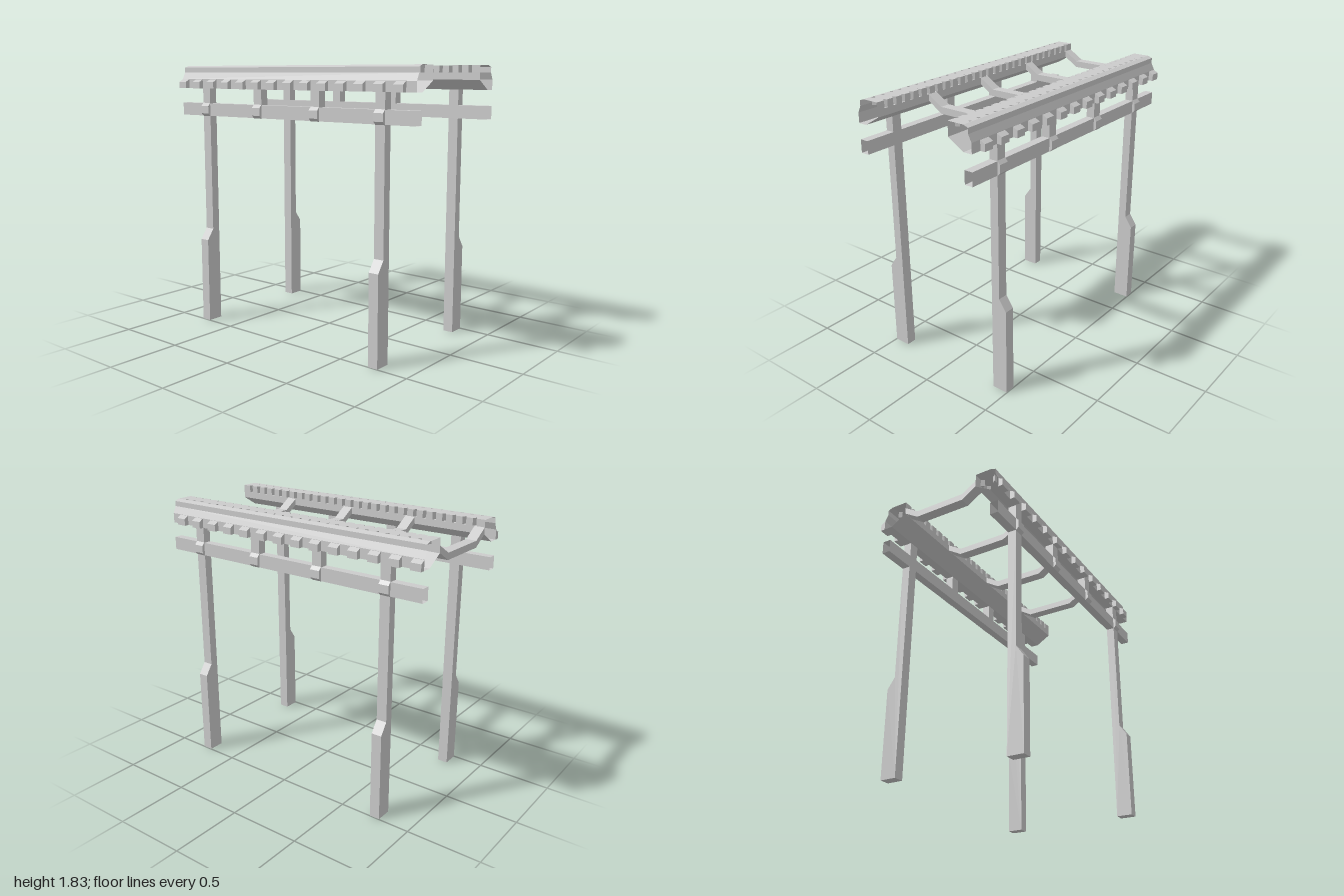
import * as THREE from 'three';

const solidMat = new THREE.MeshStandardMaterial({ color: 0xcccccc, flatShading: true });
const shellMat = new THREE.MeshStandardMaterial({ color: 0xcccccc, flatShading: true, side: THREE.DoubleSide });
const WIDTH = 0.07; // z thickness of every post, block and crossbar
const TOP = 1.827, PIT = 1.78; // rail top and floor of its notches
const INNER = 0.277, CREST = 0.39, OUTER = 0.445;

// Prism with an x/y outline, centred on z
function prism(name, outline, z) {
  const shape = new THREE.Shape(outline.map(([x, y]) => new THREE.Vector2(x, y)));
  const geo = new THREE.ExtrudeGeometry(shape, { depth: WIDTH, bevelEnabled: false });
  geo.translate(0, 0, z - WIDTH / 2);
  const mesh = new THREE.Mesh(geo, solidMat);
  mesh.name = name;
  return mesh;
}

// Open surface between two matching rows of points
function strip(name, rowA, rowB) {
  const pos = [];
  for (let i = 0; i < rowA.length - 1; i++) {
    const [a, b, c, d] = [rowA[i], rowA[i + 1], rowB[i + 1], rowB[i]];
    pos.push(...a, ...b, ...c, ...a, ...c, ...d);
  }
  const geo = new THREE.BufferGeometry();
  geo.setAttribute('position', new THREE.Float32BufferAttribute(pos, 3));
  geo.computeVertexNormals();
  const mesh = new THREE.Mesh(geo, shellMat);
  mesh.name = name;
  return mesh;
}

// Open-ended full-length skin from an x/y profile
const channel = (name, profile) =>
  strip(name, profile.map(([x, y]) => [x, y, 1]), profile.map(([x, y]) => [x, y, -1]));

// Upright wall along an x/z path
const wall = (name, path) =>
  strip(name, path.map(([x, z]) => [x, TOP, z]), path.map(([x, z]) => [x, PIT, z]));

// Flat horizontal sheet from an x/z outline, with optional holes
function sheet(name, outline, y, holes = []) {
  const toPoints = (path) => path.map(([x, z]) => new THREE.Vector2(x, -z));
  const shape = new THREE.Shape(toPoints(outline));
  shape.holes = holes.map((h) => new THREE.Path(toPoints(h)));
  const geo = new THREE.ShapeGeometry(shape);
  geo.rotateX(-Math.PI / 2).translate(0, y, 0);
  const mesh = new THREE.Mesh(geo, shellMat);
  mesh.name = name;
  return mesh;
}

function createRail(s) {
  const rail = new THREE.Group();
  rail.name = s > 0 ? 'leftRail' : 'rightRail';
  const sx = (path) => path.map(([x, v]) => [x * s, v]);

  // Hollow body, open at both ends
  rail.add(channel('railBody', sx([
    [CREST, TOP], [0.423, 1.815], [0.423, 1.78], [OUTER, 1.735], [OUTER, 1.67],
    [0.385, 1.67], [INNER, 1.735], [INNER, PIT],
  ])));

  // Triangular notches on the inner edge and triangular pits in the top
  const edge = [[INNER, -1]], pits = [];
  for (let i = -13; i <= 13; i++) {
    const z = i * 0.0715, h = 0.013;
    const notch = [[INNER, z - h], [0.302, z], [INNER, z + h]];
    const pit = [[0.383, z - h], [0.383, z + h], [0.36, z]];
    edge.push(...notch);
    pits.push(sx(pit));
    rail.add(sheet('notchFloor', sx(notch), PIT));
    rail.add(sheet('pitFloor', sx(pit), PIT));
    rail.add(wall('pitWall', sx([...pit, pit[0]])));
  }
  edge.push([INNER, 1]);
  rail.add(wall('notchedEdge', sx(edge)));
  rail.add(sheet('railTop', sx([...edge, [CREST, 1], [CREST, -1]]), TOP, pits));

  // Row of small blocks along the outer foot
  for (let i = 0; i < 14; i++) {
    rail.add(prism('railBlock', sx([
      [OUTER, 1.67], [0.477, 1.67], [0.477, 1.715], [OUTER, 1.733],
    ]), -0.965 + i * 0.143));
  }
  return rail;
}

function createSupports(s) {
  const group = new THREE.Group();
  group.name = s > 0 ? 'leftSupports' : 'rightSupports';
  const sx = (path) => path.map(([x, y]) => [x * s, y]);
  const low = 1.48, high = 1.567, inn = 0.388;

  // Hollow side beam
  group.add(channel('sideBeam', sx([
    [inn, low], [OUTER, low], [OUTER, high], [inn, high], [inn, low],
  ])));

  // Struts and clamps
  for (const z of [-0.75, -0.25, 0.25, 0.75]) {
    group.add(prism('strut', sx([[inn, high], [OUTER, high], [OUTER, 1.67], [inn, 1.67]]), z));
    group.add(prism('clamp', sx([
      [OUTER, 1.478], [0.464, 1.497], [0.464, 1.548], [OUTER, 1.57],
    ]), z));
  }

  // Legs with a thicker foot
  for (const z of [-0.75, 0.75]) {
    group.add(prism('leg', sx([
      [inn, 0], [0.497, 0], [0.497, 0.595], [OUTER, 0.67], [OUTER, low], [inn, low],
    ]), z));
  }
  return group;
}

export function createModel() {
  const model = new THREE.Group();
  model.name = 'elevatedTrack';
  for (const s of [1, -1]) model.add(createRail(s), createSupports(s));

  // Dipped crossbars between the rails
  for (let i = 0; i < 4; i++) {
    model.add(prism('crossbar', [
      [-INNER, 1.737], [-0.175, 1.673], [0.175, 1.673], [INNER, 1.737],
      [INNER, 1.78], [0.175, 1.717], [-0.175, 1.717], [-INNER, 1.78],
    ], -0.965 + i * 0.5));
  }
  return model;
}
